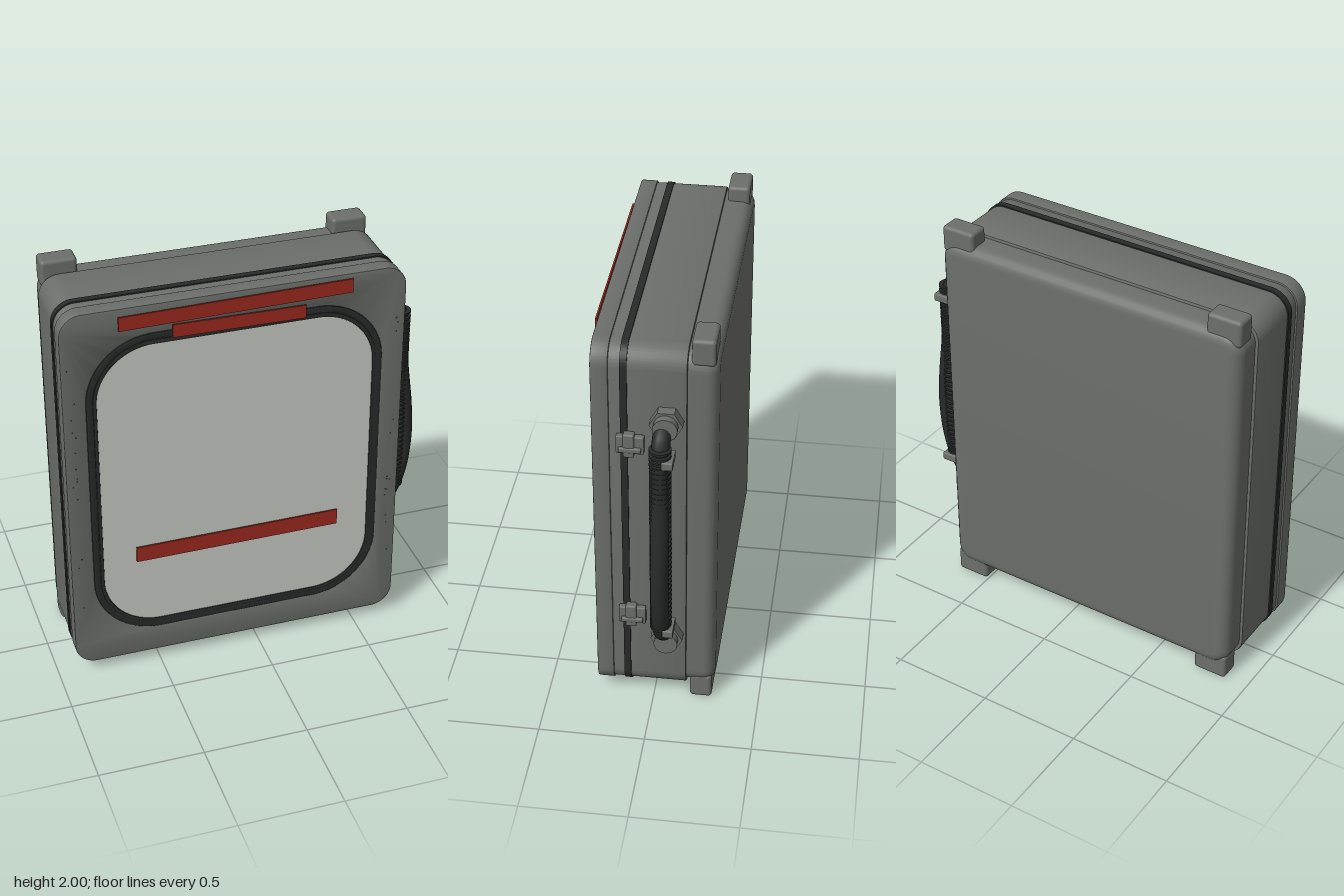
import * as THREE from 'three';
import { toCreasedNormals } from 'three/addons/utils/BufferGeometryUtils.js';
import { RoundedBoxGeometry } from 'three/addons/geometries/RoundedBoxGeometry.js';

const CX = -0.105, CY = 1; // centre of the case

// Rounded rectangle centred on the case
function roundRect(w, h, r, Type = THREE.Shape) {
  const s = new Type();
  const x = w / 2, y = h / 2;
  s.absarc(CX + x - r, CY + y - r, r, 0, Math.PI / 2);
  s.absarc(CX - x + r, CY + y - r, r, Math.PI / 2, Math.PI);
  s.absarc(CX - x + r, CY - y + r, r, Math.PI, Math.PI * 1.5);
  s.absarc(CX + x - r, CY - y + r, r, Math.PI * 1.5, Math.PI * 2);
  s.closePath();
  return s;
}

// Slab from z0 to z1 with an optional rounded edge
function slab(shape, z0, z1, bevel = 0, segments = 2) {
  const g = new THREE.ExtrudeGeometry(shape, {
    depth: z1 - z0 - 2 * bevel, curveSegments: 12, bevelEnabled: bevel > 0,
    bevelThickness: bevel, bevelSize: bevel, bevelOffset: -bevel, bevelSegments: segments,
  });
  g.translate(0, 0, z0 + bevel);
  return toCreasedNormals(g, 0.6);
}

export function createModel() {
  const model = new THREE.Group();
  const material = (name, color) => {
    const m = new THREE.MeshStandardMaterial({ color });
    m.name = name;
    return m;
  };
  const grey = material('case grey', 0x6c6f6b);
  const black = material('rubber black', 0x292a2a);
  const pale = material('pale panel', 0xc8cbc5);
  const red = material('red tape', 0x9c2a20);

  const add = (name, geometry, mat, x = 0, y = 0, z = 0, parent = model) => {
    const mesh = new THREE.Mesh(geometry, mat);
    mesh.name = name;
    mesh.position.set(x, y, z);
    parent.add(mesh);
    return mesh;
  };

  // Case shell, seal and lid
  add('caseBody', slab(roundRect(1.605, 1.885, 0.1), -0.155, 0.19, 0.006), grey);
  add('seal', slab(roundRect(1.617, 1.897, 0.105), 0.105, 0.137), black);
  add('backCover', slab(roundRect(1.575, 1.855, 0.09), -0.29, -0.06, 0.055, 5), grey);
  const frame = roundRect(1.62, 1.9, 0.105);
  frame.holes.push(roundRect(1.4, 1.6, 0.31, THREE.Path));
  add('frontFrame', slab(frame, 0.187, 0.265, 0.005), grey);

  // Window: rubber surround, inner lip and pale panel
  const surround = roundRect(1.41, 1.62, 0.32);
  surround.holes.push(roundRect(1.33, 1.54, 0.28, THREE.Path));
  add('windowSurround', slab(surround, 0.2, 0.271, 0.008), black);
  const lip = roundRect(1.345, 1.555, 0.288);
  lip.holes.push(roundRect(1.31, 1.51, 0.27, THREE.Path));
  add('windowLip', slab(lip, 0.2, 0.275, 0.004), black);
  add('windowPanel', slab(roundRect(1.32, 1.52, 0.272), 0.2, 0.27), pale);

  // Tape strips, each a thin four-cornered plate: x0, x1, left y, right y, height, z
  for (const [x0, x1, yl, yr, h, z] of [
    [-0.65, 0.44, 1.848, 1.863, 0.068, 0.274],
    [-0.405, 0.217, 1.778, 1.772, 0.064, 0.277],
    [-0.605, 0.392, 0.608, 0.615, 0.08, 0.283],
  ]) {
    const s = new THREE.Shape();
    s.moveTo(x0, yl);
    s.lineTo(x1, yr);
    s.lineTo(x1, yr + h);
    s.lineTo(x0, yl + h);
    add('tapeStrip', slab(s, z, z + 0.008), red);
  }

  // Corner feet
  for (const x of [-0.8, 0.59]) {
    for (const y of [0.065, 1.935]) {
      add('foot', new RoundedBoxGeometry(0.17, 0.13, 0.105, 3, 0.018), grey, x, y, -0.223);
    }
  }

  // Tiny chips along both edges of the frame
  let seed = 7;
  const rand = () => (seed = (seed * 16807) % 2147483647) / 2147483647;
  const chip = new THREE.CircleGeometry(0.005, 5);
  for (const x of [-0.872, 0.658]) {
    for (let i = 0; i < 14; i++) {
      add('chip', chip, black, x + (rand() - 0.5) * 0.03, 0.3 + rand() * 1.5, 0.2656);
    }
  }

  // Latches across the seal
  for (const y of [1.475, 0.515]) {
    const latch = new THREE.Group();
    latch.name = 'latch';
    latch.position.set(0.7, y, 0.092);
    model.add(latch);
    add('latchPlate', new RoundedBoxGeometry(0.03, 0.09, 0.125, 2, 0.006), grey, 0.015, 0, 0, latch);
    add('latchTab', new RoundedBoxGeometry(0.04, 0.12, 0.05, 2, 0.008), grey, 0.02, 0, 0.005, latch);
    add('latchBar', new RoundedBoxGeometry(0.02, 0.025, 0.1, 2, 0.006), grey, 0.035, -0.02, 0, latch);
  }

  // Handle mounts: hexagonal nut, collar and clamp
  for (const side of [-1, 1]) {
    const mount = new THREE.Group();
    mount.name = 'handleMount';
    mount.position.set(0.7, 1.005 + side * 0.6, -0.07);
    model.add(mount);
    const nut = toCreasedNormals(new THREE.CylinderGeometry(0.074, 0.074, 0.05, 6), 0.5);
    add('nut', nut, grey, 0.025, 0, 0, mount).rotation.z = -Math.PI / 2;
    const collar = toCreasedNormals(new THREE.CylinderGeometry(0.055, 0.055, 0.04, 20), 0.5);
    add('collar', collar, grey, 0.065, 0, 0, mount).rotation.z = -Math.PI / 2;
    add('clamp', new RoundedBoxGeometry(0.11, 0.04, 0.05, 2, 0.006), grey, 0.115, -side * 0.13, -0.02, mount);
    add('clampPin', new THREE.CylinderGeometry(0.007, 0.007, 0.1, 8), grey, 0.035, -side * 0.12, 0.03, mount);
  }

  // Bowed hose handle
  const path = new THREE.CatmullRomCurve3([
    [0.74, 1.59, -0.06], [0.785, 1.565, -0.056], [0.82, 1.48, -0.055], [0.83, 1.25, -0.055],
    [0.86, 1.0, -0.055], [0.869, 0.83, -0.055], [0.85, 0.64, -0.055], [0.81, 0.52, -0.056],
    [0.78, 0.475, -0.058], [0.74, 0.455, -0.06],
  ].map((p) => new THREE.Vector3(...p)));
  add('handleHose', new THREE.TubeGeometry(path, 64, 0.041, 14), black);
  for (const t of [0, 1]) {
    const p = path.getPoint(t);
    add('hoseEnd', new THREE.SphereGeometry(0.041, 14, 10), black, p.x, p.y, p.z);
  }

  // Straight row of ribs beside the hose
  const rib = toCreasedNormals(new THREE.CylinderGeometry(0.05, 0.05, 0.011, 18), 0.5);
  const ribs = 38;
  for (let i = 0; i < ribs; i++) {
    add('handleRib', rib, black, 0.82, 0.55 + (0.98 * i) / (ribs - 1), -0.055);
  }

  return model;
}
